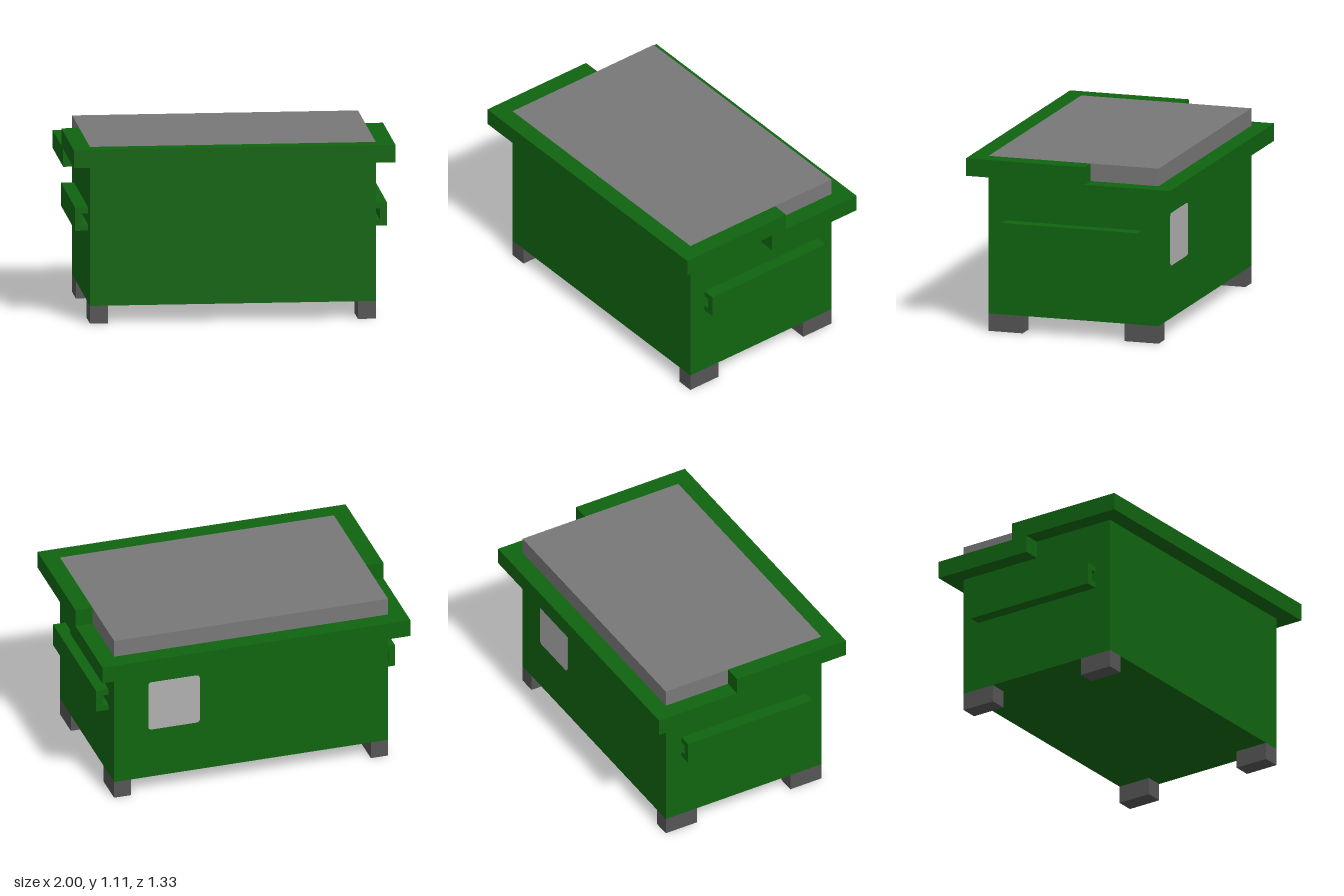
import * as THREE from 'three';

const green = new THREE.MeshStandardMaterial({ name: 'dark green paint', color: 0x106410 });
const lidGrey = new THREE.MeshStandardMaterial({ name: 'lid grey', color: 0x787878 });
const legGrey = new THREE.MeshStandardMaterial({ name: 'leg dark grey', color: 0x555555 });
const plateGrey = new THREE.MeshStandardMaterial({ name: 'plate light grey', color: 0xb0b0b0 });

const U = 1 / 9; // basic thickness of rim, legs and lid

export function createModel() {
  const model = new THREE.Group();
  model.name = 'dumpster';

  const add = (name, geometry, material, x = 0, y = 0, z = 0) => {
    const mesh = new THREE.Mesh(geometry, material);
    mesh.name = name;
    mesh.position.set(x, y, z);
    model.add(mesh);
    return mesh;
  };
  const extrude = (points, depth) => new THREE.ExtrudeGeometry(
    new THREE.Shape(points.map(([x, y]) => new THREE.Vector2(x, y))),
    { depth, bevelEnabled: false });

  // Bin body and flat lid
  add('body', new THREE.BoxGeometry(16 * U, 8 * U, 10 * U), green, 0, 5 * U, 0);
  add('lid', new THREE.BoxGeometry(16 * U, U, 10 * U), lidGrey, 0, 9.5 * U, 0);

  // U-shaped rims: the upper one wraps the front, the lower one the back
  const rim = (open, dir) => {
    const inner = dir * 5 * U, outer = dir * 6 * U;
    const points = [[-1, open], [-8 * U, open], [-8 * U, inner], [8 * U, inner],
      [8 * U, open], [1, open], [1, outer], [-1, outer]];
    return extrude(points, U).rotateX(-Math.PI / 2);
  };
  add('frontRim', rim(U, -1), green, 0, 9 * U, 0);
  add('backRim', rim(0, 1), green, 0, 8 * U, 0);

  // Lifting channels on both sides, open at their ends
  const channel = extrude([[0.889, 0.565], [0.97, 0.565], [0.97, 0.71], [0.889, 0.71],
    [0.889, 0.672], [0.926, 0.672], [0.926, 0.602], [0.889, 0.602]], 8 * U);
  channel.translate(0, 0, -4 * U);
  add('leftChannel', channel, green);
  add('rightChannel', channel, green).rotation.y = Math.PI;

  // Four legs
  const leg = new THREE.BoxGeometry(U, U, 2 * U);
  for (const sx of [-1, 1]) {
    for (const sz of [-1, 1]) {
      add(`${sz > 0 ? 'front' : 'back'}${sx > 0 ? 'Left' : 'Right'}Leg`, leg, legGrey,
        sx * 7.5 * U, U / 2, sz * 4 * U);
    }
  }

  // Blank plate with softened corners on the back
  const h = 1.5 * U, r = 0.02;
  const outline = new THREE.Shape();
  outline.absarc(h - r, h - r, r, 0, Math.PI / 2);
  outline.absarc(r - h, h - r, r, Math.PI / 2, Math.PI);
  outline.absarc(r - h, r - h, r, Math.PI, Math.PI * 1.5);
  outline.absarc(h - r, r - h, r, Math.PI * 1.5, Math.PI * 2);
  const plate = new THREE.ExtrudeGeometry(outline, { depth: 0.004, bevelEnabled: false, curveSegments: 4 });
  add('backPlate', plate, plateGrey, 4.5 * U, 5.5 * U, -5 * U - 0.003);

  return model;
}
